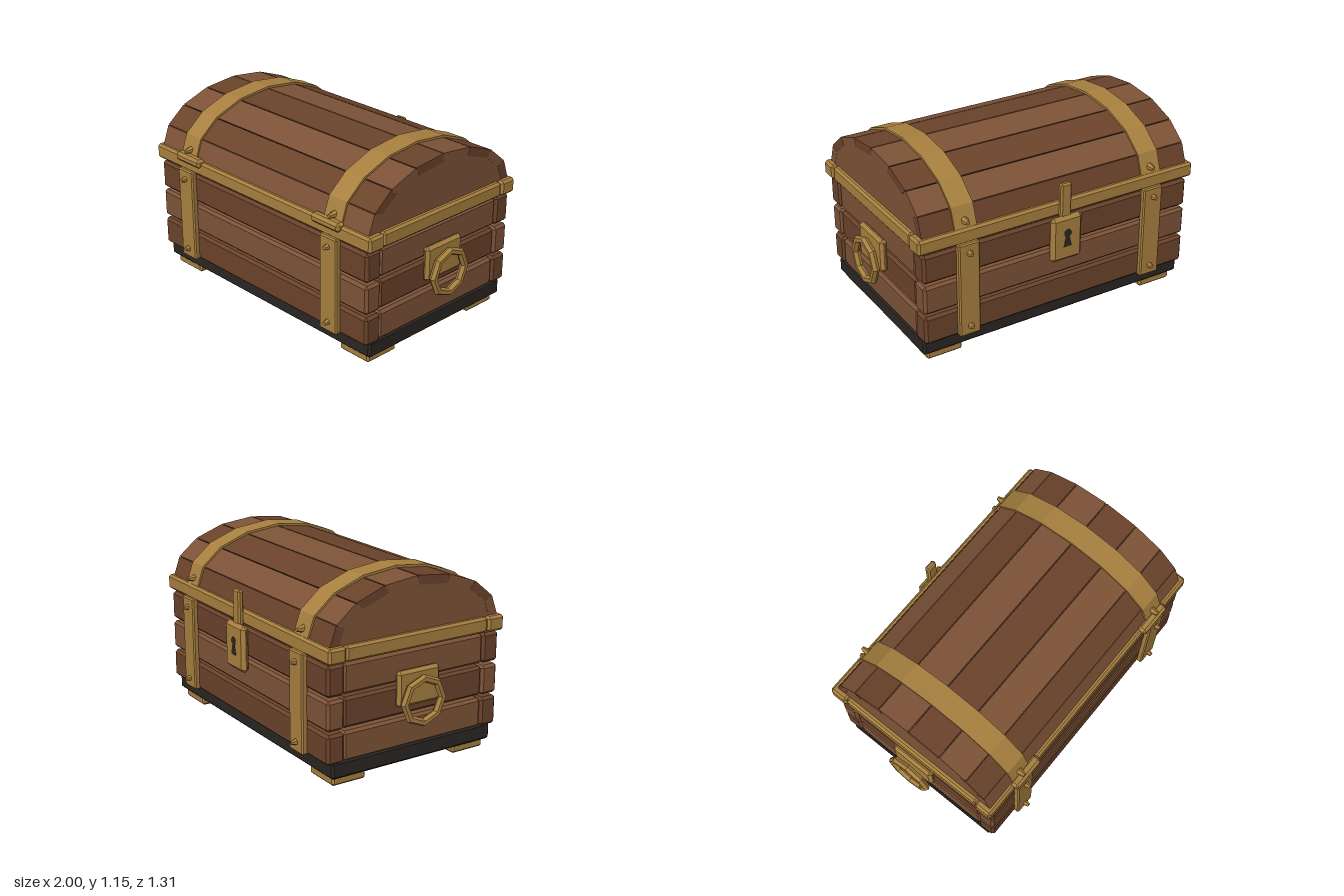
import * as THREE from 'three';
import { ConvexGeometry } from 'three/addons/geometries/ConvexGeometry.js';

const mat = (color) => new THREE.MeshStandardMaterial({ color, flatShading: true });
const gold = mat(0xa8803f);
const woods = [mat(0x6b432b), mat(0x7d5337)];
const black = mat(0x2a2622);

const LID_Y = 0.82, LID_STEPS = 8;

export function createModel() {
  const root = new THREE.Group();

  const add = (name, geometry, material, x = 0, y = 0, z = 0) => {
    const mesh = new THREE.Mesh(geometry, material);
    mesh.name = name;
    mesh.position.set(x, y, z);
    root.add(mesh);
    return mesh;
  };

  // Box with chamfered edges, given by its limits on each axis
  const block = (name, material, [x0, x1], [y0, y1], [z0, z1], c = 0.014) => {
    const h = [(x1 - x0) / 2, (y1 - y0) / 2, (z1 - z0) / 2];
    const points = [];
    for (const sx of [-1, 1]) for (const sy of [-1, 1]) for (const sz of [-1, 1]) {
      for (let full = 0; full < 3; full++) {
        const e = h.map((v, axis) => (axis === full ? v : v - c));
        points.push(new THREE.Vector3(sx * e[0], sy * e[1], sz * e[2]));
      }
    }
    return add(name, new ConvexGeometry(points), material, (x0 + x1) / 2, (y0 + y1) / 2, (z0 + z1) / 2);
  };

  // Limits mirrored to the chosen side of an axis
  const side = (s, a, b) => (s > 0 ? [a, b] : [-b, -a]);

  // Point on the faceted lid arch
  const arch = (rz, ry, step) => {
    const a = (step / LID_STEPS) * Math.PI;
    return new THREE.Vector2(rz * Math.cos(a), LID_Y + ry * Math.sin(a));
  };
  const archLine = (rz, ry) => Array.from({ length: LID_STEPS + 1 }, (_, i) => arch(rz, ry, i));

  // Extrude a z-y outline along x, centred on x = 0
  const alongX = (points, width) =>
    new THREE.ExtrudeGeometry(new THREE.Shape(points), { depth: width, bevelEnabled: false })
      .translate(0, 0, -width / 2).rotateY(-Math.PI / 2);

  const rivet = (x, y, z, s) => {
    const g = new THREE.CylinderGeometry(0.012, 0.025, 0.05, 6).rotateX(s * Math.PI / 2);
    add('rivet', g, gold, x, y, z * s);
  };

  // Base and feet
  block('base', black, [-0.905, 0.905], [0.055, 0.16], [-0.56, 0.56]);
  for (const sx of [-1, 1]) for (const sz of [-1, 1]) {
    block('foot', gold, side(sx, 0.64, 0.87), [0, 0.06], side(sz, 0.31, 0.535), 0.012);
  }

  // Three rows of wall planks
  [[0.147, 0.325], [0.343, 0.522], [0.54, 0.72]].forEach((rows, i) => {
    for (const s of [-1, 1]) {
      block('longPlank', woods[i % 2], [-0.91, 0.91], rows, side(s, 0.48, 0.595), 0.016);
      block('endPlank', woods[(i + 1) % 2], side(s, 0.8, 0.902), rows, [-0.485, 0.485], 0.016);
    }
  });

  // Inner tray
  block('tray', gold, [-0.75, 0.75], [0.46, 0.535], [-0.41, 0.41], 0.01);

  // Metal rim under the lid
  for (const s of [-1, 1]) {
    block('longRim', gold, [-0.942, 0.942], [0.733, 0.826], side(s, 0.49, 0.605));
    block('endRim', gold, side(s, 0.84, 0.935), [0.733, 0.826], [-0.49, 0.49]);
  }

  // Lid planks with narrow joints
  for (let i = 0; i < LID_STEPS; i++) {
    const a = i + 0.015, b = i + 0.985;
    const outline = [[0.58, 0.319, i], [0.58, 0.319, i + 1], [0.52, 0.265, i + 1], [0.52, 0.265, i]]
      .map(([rz, ry, end]) => arch(rz, ry, i).lerp(arch(rz, ry, i + 1), (end === i ? a : b) - i));
    add('lidPlank', alongX(outline, 1.81), woods[(i + 1) % 2]);
  }
  for (const s of [-1, 1]) {
    add('lidEnd', alongX(archLine(0.57, 0.31), 0.06), woods[1], s * 0.874);
  }

  // Lid bands, body straps, rivets and front brackets
  for (const sx of [-1, 1]) {
    const x = sx * 0.635;
    const outline = [...archLine(0.591, 0.333), ...archLine(0.56, 0.3).reverse()];
    add('lidBand', alongX(outline, 0.14), gold, x);
    for (const sz of [-1, 1]) {
      block('strap', gold, [x - 0.068, x + 0.068], [0.148, 0.745], side(sz, 0.585, 0.626), 0.008);
      rivet(x, 0.21, 0.63, sz);
      rivet(x, 0.683, 0.63, sz);
      rivet(x, 0.863, 0.59, sz);
    }
    block('bracket', gold, side(sx, 0.495, 0.72), [0.79, 0.845], [0.57, 0.63], 0.016);
  }

  // Side handles: plate and eight-sided ring
  for (const s of [-1, 1]) {
    block('handlePlate', gold, side(s, 0.9, 0.945), [0.4, 0.615], [-0.147, 0.147], 0.018);
    const ring = new THREE.TorusGeometry(0.131, 0.024, 6, 8).rotateY(Math.PI / 2);
    add('handleRing', ring, gold, s * 0.979, 0.435, 0);
  }

  // Hasp, lock and keyhole on the back
  block('hasp', gold, [-0.037, 0.037], [0.68, 0.945], [-0.636, -0.6], 0.01);
  block('lock', gold, [-0.107, 0.107], [0.455, 0.745], [-0.655, -0.605], 0.022);
  const hole = new THREE.Shape();
  hole.moveTo(-0.028, -0.06);
  hole.lineTo(0.028, -0.06);
  hole.lineTo(0.012, 0.005);
  hole.absarc(0, 0.025, 0.026, -0.9, Math.PI + 0.9, false);
  hole.lineTo(-0.012, 0.005);
  add('keyhole', new THREE.ExtrudeGeometry(hole, { depth: 0.006, bevelEnabled: false, curveSegments: 5 }),
    black, 0, 0.61, -0.657);

  return root;
}
